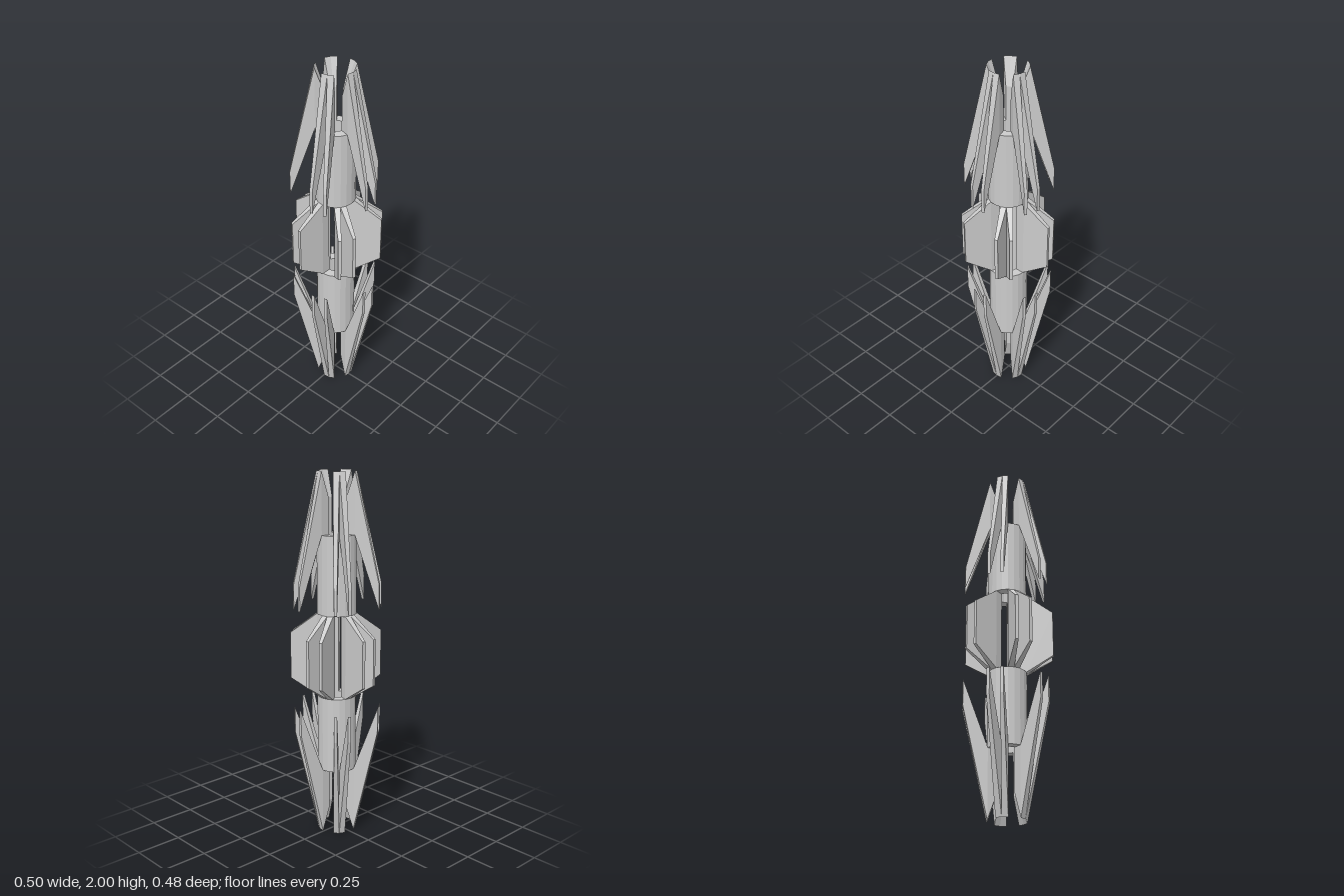
import * as THREE from 'three';
import { mergeGeometries } from 'three/addons/utils/BufferGeometryUtils.js';

const STEP = Math.PI / 10;          // twenty facets around the axis
const HALF = STEP / 2;
const R_IN = 0.055, R_OUT = 0.106;  // hollow core and tube wall
const FACES = ['right', 'left', 'top', 'bottom', 'outer', 'inner'];

// Inner or outer end of a block: distance from axis, half width, bottom and top heights
const facet = (r, y0, y1) => ({ r: r * Math.cos(HALF), w: r * Math.sin(HALF), y0, y1 });
const tip = (r, y0, y1) => ({ r, w: 0.0085, y0, y1 });

// Tapered block between two radial ends, turned to its angle; hidden faces are left out
function block(angle, inner, outer, hidden = []) {
  const box = new THREE.BoxGeometry(1, 1, 1);
  const p = box.attributes.position;
  for (let i = 0; i < p.count; i++) {
    const end = p.getZ(i) > 0 ? outer : inner;
    p.setXYZ(i, Math.sign(p.getX(i)) * end.w, p.getY(i) > 0 ? end.y1 : end.y0, end.r);
  }
  const all = Array.from(box.index.array);
  box.setIndex(FACES.flatMap((f, k) => (hidden.includes(f) ? [] : all.slice(k * 6, k * 6 + 6))));
  const geo = box.toNonIndexed();
  geo.clearGroups();
  geo.computeVertexNormals();
  return geo.rotateY(angle);
}

// Calls make(angle, sharedSide) for both halves of five equally spaced segments
function pairs(start, make) {
  const out = [];
  for (let k = 0; k < 5; k++) {
    const mid = start + k * STEP * 4;
    out.push(make(mid - HALF, 'right'), make(mid + HALF, 'left'));
  }
  return out;
}

export function createModel() {
  const group = new THREE.Group();
  const material = new THREE.MeshStandardMaterial({ color: 0xcccccc, flatShading: true });
  const add = (name, geos) => {
    const mesh = new THREE.Mesh(mergeGeometries(geos), material);
    mesh.name = name;
    group.add(mesh);
  };

  // Closed tubes above and below the middle
  for (const [name, y0, y1] of [['upperTube', 1.25, 1.674], ['lowerTube', 0.371, 0.792]]) {
    const cells = [];
    for (let i = 0; i < 20; i++) {
      cells.push(block((i + 0.5) * STEP, facet(R_IN, y0, y1), facet(R_OUT, y0, y1), ['left', 'right']));
    }
    add(name, cells);
  }

  // Prongs with bevelled ends, continuing each tube to the top and bottom
  add('upperProngs', pairs(0, (a, side) =>
    block(a, facet(R_IN, 1.674, 1.86), facet(R_OUT, 1.674, 2), [side, 'bottom', 'outer'])));
  add('lowerProngs', pairs(0, (a, side) =>
    block(a, facet(R_IN, 0.14, 0.371), facet(R_OUT, 0, 0.371), [side, 'top', 'outer'])));

  // Swept fins on the prongs
  add('upperFins', pairs(0, (a) =>
    block(a, facet(R_OUT, 1.674, 2), tip(0.238, 1.285, 1.417), ['inner'])));
  add('lowerFins', pairs(0, (a) =>
    block(a, facet(R_OUT, 0, 0.371), tip(0.238, 0.596, 0.739), ['inner'])));

  // Middle segments, set in the gaps between the prongs, with chamfered fins
  add('middleSegments', pairs(STEP * 2, (a, side) =>
    block(a, facet(R_IN, 0.792, 1.25), facet(R_OUT, 0.792, 1.25), [side, 'outer'])));
  add('middleFins', pairs(STEP * 2, (a) =>
    block(a, facet(R_OUT, 0.792, 1.25), tip(0.25, 0.887, 1.142), ['inner'])));

  group.children.forEach((m) => m.geometry.translate(0, 0, 0.004));
  return group;
}
